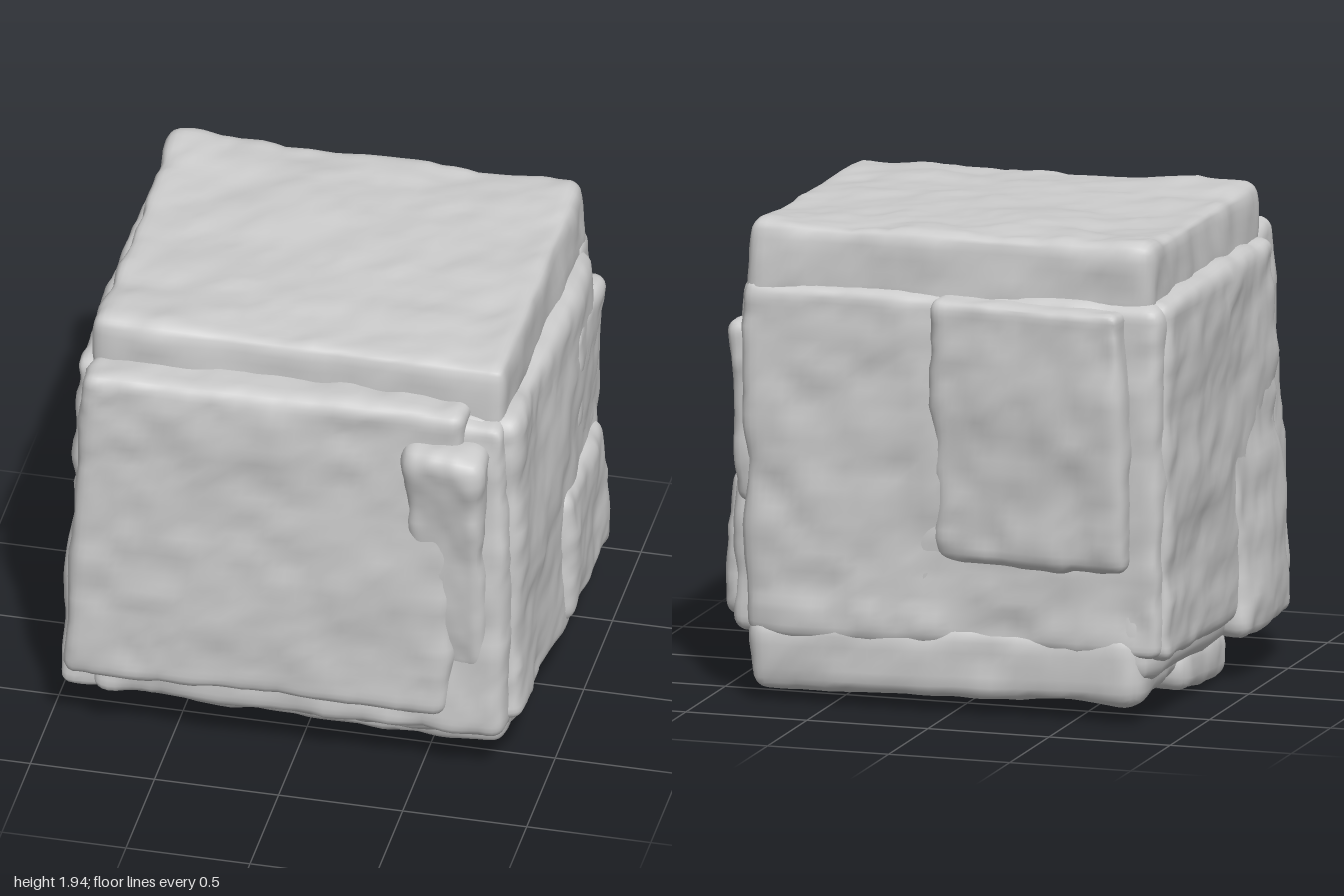
import * as THREE from 'three';
import { mergeVertices } from 'three/addons/utils/BufferGeometryUtils.js';

// Smooth value noise in the range -1..1
function hash(x, y, z) {
  let h = Math.imul(x, 374761393) ^ Math.imul(y, 668265263) ^ Math.imul(z, 1274126177);
  h = Math.imul(h ^ (h >>> 13), 1103515245);
  return ((h ^ (h >>> 16)) >>> 0) / 2147483648 - 1;
}

function noise(x, y, z) {
  const [ix, iy, iz] = [x, y, z].map(Math.floor);
  const [fx, fy, fz] = [x - ix, y - iy, z - iz].map((t) => t * t * (3 - 2 * t));
  const mix = THREE.MathUtils.lerp;
  const edge = (j, k) => mix(hash(ix, iy + j, iz + k), hash(ix + 1, iy + j, iz + k), fx);
  return mix(mix(edge(0, 0), edge(1, 0), fy), mix(edge(0, 1), edge(1, 1), fy), fz);
}

const roughness = (p, seed) =>
  0.018 * noise(p.x * 3.1 + seed, p.y * 3.1, p.z * 3.1) +
  0.012 * noise(p.x * 8 + seed, p.y * 8, p.z * 8) +
  0.005 * noise(p.x * 19, p.y * 19, p.z * 19 + seed);

const material = new THREE.MeshStandardMaterial({ color: 0xcccccc });
const X = new THREE.Vector3(1, 0, 0);
const Y = new THREE.Vector3(0, 1, 0);
const Z = new THREE.Vector3(0, 0, 1);

// Frame of one side of the block: u to the right, v up, w outward
const frame = (u, v) => new THREE.Matrix4().makeBasis(u, v, u.clone().cross(v));
const FRONT = frame(X, Y);
const BACK = frame(X.clone().negate(), Y);
const LEFT = frame(Z.clone().negate(), Y);
const RIGHT = frame(Z, Y);
const TOP = frame(X, Z.clone().negate());
const BOTTOM = frame(X, Z);

// A worn stone slab lying on one side: its extent in u and v, outer distance w,
// slopes of the outer face, sideways lean and crown of the middle.
function slab(name, side, [u0, u1], [v0, v1], w, options = {}) {
  const { thickness = 0.22, slopeU = 0, slopeV = 0, lean = 0, bulge = 0, radius = 0.06 } = options;
  const half = new THREE.Vector3(u1 - u0, v1 - v0, thickness).divideScalar(2);
  const limit = half.clone().subScalar(radius);
  const lowLimit = limit.clone().negate();
  const segments = half.x > 0.5 ? 40 : 28;
  let geo = new THREE.BoxGeometry(2, 2, 2, segments, segments, 8);
  geo.deleteAttribute('uv');
  geo.deleteAttribute('normal');
  geo = mergeVertices(geo, 1e-4);
  const pos = geo.attributes.position;
  const p = new THREE.Vector3();
  const q = new THREE.Vector3();
  const crowd = (t) => 0.5 * t + 0.5 * Math.sin((t * Math.PI) / 2);

  for (let i = 0; i < pos.count; i++) {
    // Round the box edges
    p.fromBufferAttribute(pos, i);
    p.set(crowd(p.x), crowd(p.y), crowd(p.z)).multiply(half);
    q.copy(p).clamp(lowLimit, limit);
    p.sub(q).setLength(radius).add(q);
    // Tilt, lean and crown it, then set it on its side
    const s = p.x / half.x;
    const t = p.y / half.y;
    p.z += w - half.z + slopeU * s + slopeV * t + bulge * (1 - s * s) * (1 - t * t);
    p.x += (u0 + u1) / 2 + lean * t;
    p.y += (v0 + v1) / 2;
    p.applyMatrix4(side);
    pos.setXYZ(i, p.x, p.y, p.z);
  }

  // Chip and roughen along the normals
  geo.computeVertexNormals();
  const seed = w * 37 + u0 * 11;
  for (let i = 0; i < pos.count; i++) {
    p.fromBufferAttribute(pos, i);
    q.fromBufferAttribute(geo.attributes.normal, i);
    p.addScaledVector(q, roughness(p, seed));
    pos.setXYZ(i, p.x, p.y, p.z);
  }
  geo.computeVertexNormals();
  const mesh = new THREE.Mesh(geo, material);
  mesh.name = name;
  return mesh;
}

export function createModel() {
  const model = new THREE.Group();
  model.name = 'stoneBlock';

  model.add(
    slab('core', FRONT, [-0.84, 0.84], [0.18, 1.72], 0.7, { thickness: 1.42, radius: 0.1 }),

    // Front layers
    slab('frontSlab', FRONT, [-0.88, 0.66], [0.33, 1.77], 0.81,
      { slopeU: -0.017, slopeV: 0.01, lean: 0.045, bulge: 0.01 }),
    slab('frontUnderlayer', FRONT, [-0.82, 0.85], [0.23, 1.7], 0.755),
    slab('frontCornerFlake', FRONT, [0.46, 0.78], [0.53, 1.61], 0.81, { slopeU: 0.015, slopeV: 0.07 }),

    // Layers on the left side
    slab('leftSlab', LEFT, [-0.68, 0.65], [0.28, 1.69], 0.905, { slopeU: 0.015, slopeV: -0.01, bulge: 0.02 }),
    slab('leftLowerFlake', LEFT, [-0.05, 0.61], [0.34, 0.93], 0.955, { slopeV: -0.01, bulge: 0.02 }),
    slab('leftUpperFlake', LEFT, [0.22, 0.7], [0.8, 1.54], 0.918, { slopeV: 0.02 }),

    // Layers on the right side
    slab('rightSlab', RIGHT, [-0.7, 0.67], [0.27, 1.72], 0.897),
    slab('rightLowerFlake', RIGHT, [0.12, 0.69], [0.2, 1.25], 0.92,
      { slopeU: 0.01, slopeV: -0.04, lean: -0.03, bulge: 0.02 }),

    // Back layers
    slab('backSlab', BACK, [-0.86, 0.87], [0.28, 1.71], 0.75, { slopeV: 0.01 }),
    slab('backUpperFlake', BACK, [-0.07, 0.75], [0.63, 1.71], 0.815, { slopeU: 0.035, slopeV: 0.04 }),

    // Top and bottom
    slab('topSlab', TOP, [-0.83, 0.84], [-0.68, 0.72], 1.94, { thickness: 0.34, slopeV: 0.01 }),
    slab('bottomSlab', BOTTOM, [-0.78, 0.84], [-0.74, 0.66], -0.11,
      { thickness: 0.3, slopeU: 0.02, slopeV: -0.035, radius: 0.08 }),
    slab('bottomFlake', BOTTOM, [-0.82, -0.05], [-0.22, 0.34], -0.075,
      { slopeU: -0.055, slopeV: 0.015, radius: 0.08 })
  );
  return model;
}
